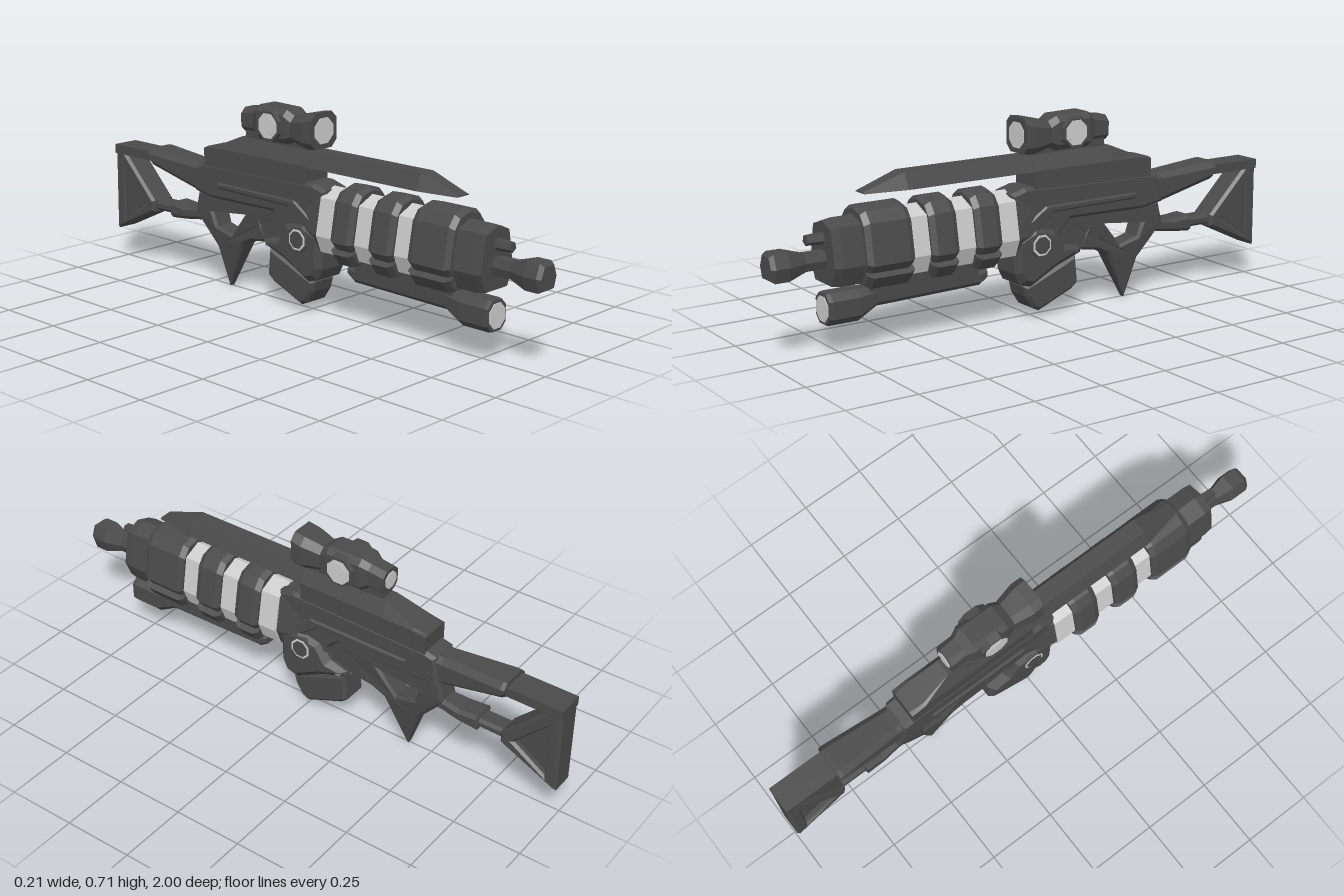
import * as THREE from 'three';

const dark = new THREE.MeshStandardMaterial({ color: 0x4a4a4a, flatShading: true });
const light = new THREE.MeshStandardMaterial({ color: 0xcccccc, flatShading: true });

// Half profile (x >= 0, top to bottom) mirrored into a counter-clockwise loop
function mirrorLoop(half) {
  const left = half.filter(p => p[0] > 0).map(([x, y]) => [-x, y]);
  return [...left, ...half.slice().reverse()];
}

// Skin a solid through [z, halfProfile] sections, front to back
function loft(sections) {
  const rings = sections.map(([z, half]) => mirrorLoop(half).map(([x, y]) => [x, y, z]));
  const n = rings[0].length, pos = [];
  const tri = (a, b, c) => pos.push(...a, ...b, ...c);
  for (let k = 0; k < rings.length - 1; k++) {
    const a = rings[k], b = rings[k + 1];
    for (let i = 0; i < n; i++) {
      const j = (i + 1) % n;
      tri(a[i], b[i], b[j]);
      tri(a[i], b[j], a[j]);
    }
  }
  for (const [ring, front] of [[rings[0], true], [rings.at(-1), false]]) {
    const flat = ring.map(p => new THREE.Vector2(p[0], p[1]));
    for (const [a, b, c] of THREE.ShapeUtils.triangulateShape(flat, [])) {
      const up = (flat[b].x - flat[a].x) * (flat[c].y - flat[a].y) - (flat[b].y - flat[a].y) * (flat[c].x - flat[a].x) > 0;
      if (up === front) tri(ring[a], ring[b], ring[c]);
      else tri(ring[a], ring[c], ring[b]);
    }
  }
  const g = new THREE.BufferGeometry();
  g.setAttribute('position', new THREE.Float32BufferAttribute(pos, 3));
  g.computeVertexNormals();
  return g;
}

// Side outline of [z, y] points, bevelled and centred on x = 0
function slab(points, half, bevel = 0.012, holes = []) {
  const vec = list => list.map(([z, y]) => new THREE.Vector2(z, y));
  const shape = new THREE.Shape(vec(points));
  holes.forEach(h => shape.holes.push(new THREE.Path(vec(h))));
  const depth = 2 * (half - bevel);
  const g = new THREE.ExtrudeGeometry(shape, {
    depth, bevelEnabled: bevel > 0, bevelSize: bevel, bevelOffset: -bevel, bevelThickness: bevel, bevelSegments: 1,
  });
  return g.translate(0, 0, -depth / 2).rotateY(-Math.PI / 2);
}

// Half of a chamfered rectangle
const cham = (w, top, bottom, c) => [[w - c, top], [w, top - c], [w, bottom + c], [w - c, bottom]];
const scaled = (half, s, cy) => half.map(([x, y]) => [x * s, cy + (y - cy) * s]);

export function createModel() {
  const model = new THREE.Group();
  const add = (name, geometry, material = dark) => {
    const m = new THREE.Mesh(geometry, material);
    m.name = name;
    model.add(m);
    return m;
  };
  // Eight-sided disc facing along z
  const disc = (r, len, y, z, sides = 8) => new THREE.CylinderGeometry(r, r, len, sides)
    .rotateY(Math.PI / sides).rotateX(Math.PI / 2).translate(0, y, z);

  // Barrel housing: pale core, dark clamps and nose block
  const core = [[0, 0.465], [0.066, 0.435], [0.09, 0.305], [0.066, 0.245], [0, 0.235]];
  const clamp = [[0, 0.49], [0.055, 0.475], [0.082, 0.438], [0.107, 0.302], [0.086, 0.275], [0.104, 0.262], [0.076, 0.222], [0, 0.222]];
  add('barrelCore', loft([[0.54, core], [0.1, core]]), light);
  for (const [front, back] of [[0.69, 0.515], [0.45, 0.345], [0.275, 0.175]]) {
    const end = scaled(clamp, 0.91, 0.35);
    add('barrelClamp', loft([[front, end], [front - 0.02, clamp], [back + 0.02, clamp], [back, end]]));
  }
  const nose = [[0, 0.457], [0.062, 0.435], [0.086, 0.305], [0.058, 0.24], [0, 0.24]];
  add('noseBlock', loft([[0.8, scaled(nose, 0.95, 0.345)], [0.77, nose], [0.52, nose]]));
  add('rearCollar', loft([[0.115, core.map(([x, y]) => [x * 0.96, y])], [-0.01, core.map(([x, y]) => [x * 0.7, y])]]));

  // Muzzle and guide stub
  const muzzle = [[0.03, 0.372], [0.048, 0.325], [0.034, 0.278]];
  add('muzzle', loft([
    [1, scaled(muzzle, 0.8, 0.325)], [0.985, muzzle], [0.935, muzzle],
    [0.87, scaled(muzzle, 0.6, 0.325)], [0.78, scaled(muzzle, 0.6, 0.325)],
  ]));
  add('muzzleRim', new THREE.TorusGeometry(0.02, 0.005, 4, 8).translate(0, 0.325, 0.995));
  add('guideStub', new THREE.CylinderGeometry(0.018, 0.023, 0.08, 5).rotateX(Math.PI / 2).translate(0, 0.394, 0.82));

  // Lamp and rail under the barrel
  const lamp = cham(0.048, 0.214, 0.107, 0.024);
  add('lampBody', loft([
    [0.805, scaled(lamp, 0.96, 0.16)], [0.79, lamp], [0.69, lamp],
    [0.62, cham(0.035, 0.21, 0.145, 0.014)], [0.22, cham(0.035, 0.205, 0.152, 0.014)], [0.19, cham(0.028, 0.205, 0.17, 0.01)],
  ]));
  add('lampLens', disc(0.045, 0.004, 0.16, 0.806).scale(0.95, 1, 1), light);
  add('railHanger', new THREE.BoxGeometry(0.07, 0.06, 0.42).translate(0, 0.215, 0.44));

  // Receiver with a raised ridge on each side
  add('receiver', slab([
    [0.11, 0.455], [0.05, 0.472], [-0.49, 0.46], [-0.53, 0.45], [-0.55, 0.35], [-0.46, 0.335],
    [-0.14, 0.34], [-0.1, 0.30], [-0.1, 0.22], [0.1, 0.22],
  ], 0.058));
  add('sideRidge', slab([
    [0.1, 0.33], [0.06, 0.34], [-0.03, 0.40], [-0.42, 0.40], [-0.42, 0.378], [-0.06, 0.375], [0.03, 0.30], [0.1, 0.29],
  ], 0.066, 0.006));
  add('lowerPod', slab([
    [0.1, 0.30], [0.095, 0.175], [0.075, 0.135], [0.03, 0.122], [-0.08, 0.18], [-0.18, 0.215],
    [-0.18, 0.235], [-0.11, 0.255], [-0.07, 0.315], [0.02, 0.335],
  ], 0.075, 0.022));

  // Top cover and the rail reaching forward from it
  const cover = (top, w) => [[w, top], [0.057, Math.min(0.525, top - 0.004)], [0.056, 0.45]];
  add('topCover', loft([[0.015, cover(0.578, 0.03)], [-0.32, cover(0.578, 0.03)], [-0.435, cover(0.53, 0.045)], [-0.49, cover(0.52, 0.04)]]));
  add('topRail', loft([
    [0.66, [[0.022, 0.528], [0.03, 0.523]]],
    [0.51, [[0.03, 0.578], [0.055, 0.523]]],
    [0.01, [[0.03, 0.578], [0.055, 0.523]]],
  ]));

  // Trigger guard and grip, thinning towards the grip tip
  const grip = slab([
    [-0.09, 0.35], [-0.54, 0.35], [-0.56, 0.27], [-0.53, 0.235], [-0.455, 0.15], [-0.41, 0.005],
    [-0.32, 0.18], [-0.27, 0.205], [-0.19, 0.218], [-0.09, 0.222],
  ], 0.045, 0.01, [
    [[-0.115, 0.295], [-0.14, 0.34], [-0.222, 0.34], [-0.216, 0.29], [-0.19, 0.232], [-0.135, 0.24]],
    [[-0.297, 0.30], [-0.34, 0.332], [-0.452, 0.332], [-0.468, 0.285], [-0.447, 0.23], [-0.372, 0.21]],
  ]);
  const gp = grip.attributes.position;
  for (let i = 0; i < gp.count; i++) {
    gp.setX(i, gp.getX(i) * THREE.MathUtils.clamp(0.25 + gp.getY(i) * 3, 0.25, 1));
  }
  add('gripAndGuard', grip);
  add('trigger', slab([[-0.2, 0.35], [-0.225, 0.35], [-0.225, 0.28], [-0.21, 0.28]], 0.012, 0));

  // Tilted magazine
  add('magazine', slab([
    [0.055, 0.122], [-0.165, 0.208], [-0.175, 0.105], [-0.15, 0.085], [-0.01, 0.028], [0.015, 0.04], [0.045, 0.085],
  ], 0.055, 0.012));

  // Stock: upper strut, lower strut and butt
  add('upperStrut', loft([
    [-0.45, cham(0.05, 0.45, 0.34, 0.015)], [-0.55, cham(0.052, 0.452, 0.345, 0.02)],
    [-0.78, cham(0.066, 0.468, 0.405, 0.02)], [-0.795, cham(0.064, 0.468, 0.415, 0.02)],
  ]));
  add('stockBar', new THREE.BoxGeometry(0.1, 0.034, 0.22).translate(0, 0.436, -0.89));
  add('lowerStrut', loft([
    [-0.5, cham(0.04, 0.32, 0.24, 0.012)], [-0.56, cham(0.04, 0.278, 0.232, 0.012)],
    [-0.62, cham(0.046, 0.272, 0.224, 0.012)], [-0.69, cham(0.046, 0.278, 0.218, 0.012)],
    [-0.695, cham(0.036, 0.265, 0.23, 0.01)], [-0.82, cham(0.036, 0.265, 0.228, 0.01)],
  ]));
  add('buttFrame', slab([
    [-0.785, 0.265], [-0.94, 0.42], [-0.97, 0.452], [-1, 0.452], [-1, 0.122], [-0.785, 0.222],
  ], 0.05, 0.01, [[[-0.835, 0.246], [-0.955, 0.37], [-0.955, 0.165]]]));
  add('buttPanel', slab([[-0.82, 0.246], [-0.965, 0.39], [-0.965, 0.15]], 0.025, 0));

  // Scope
  add('scopeBody', loft([
    [0.05, cham(0.063, 0.711, 0.585, 0.024)], [0.01, cham(0.065, 0.705, 0.582, 0.026)],
    [-0.06, cham(0.05, 0.688, 0.594, 0.022)], [-0.09, cham(0.056, 0.705, 0.585, 0.02)],
    [-0.22, cham(0.056, 0.708, 0.585, 0.02)], [-0.25, cham(0.042, 0.692, 0.6, 0.018)],
    [-0.31, cham(0.042, 0.685, 0.598, 0.02)],
  ]));
  add('scopeMount', new THREE.BoxGeometry(0.06, 0.04, 0.32).translate(0, 0.585, -0.14));
  add('frontLens', disc(0.048, 0.004, 0.647, 0.051), light);
  add('rearLens', disc(0.032, 0.004, 0.642, -0.311), light);

  // Eight-sided dials on both sides of the scope and lower pod
  const dial = (name, r, y, z, x, centre) => {
    for (const side of [1, -1]) {
      const layer = (part, outer, inner, from, to, mat) => add(name + part,
        new THREE.CylinderGeometry(outer, inner, to - from, 8).rotateY(Math.PI / 8)
          .rotateZ(-side * Math.PI / 2).translate(side * (from + to) / 2, y, z), mat);
      layer('Housing', r * 0.9, r, 0.03, x, dark);
      layer('Rim', r * 0.75, r * 0.75, x - 0.005, x + 0.002, light);
      layer('Centre', r * 0.6, r * 0.6, x - 0.005, x + 0.004, centre);
    }
  };
  dial('scopeDial', 0.062, 0.645, -0.15, 0.07, light);
  dial('podDial', 0.052, 0.27, 0, 0.08, dark);

  return model;
}
